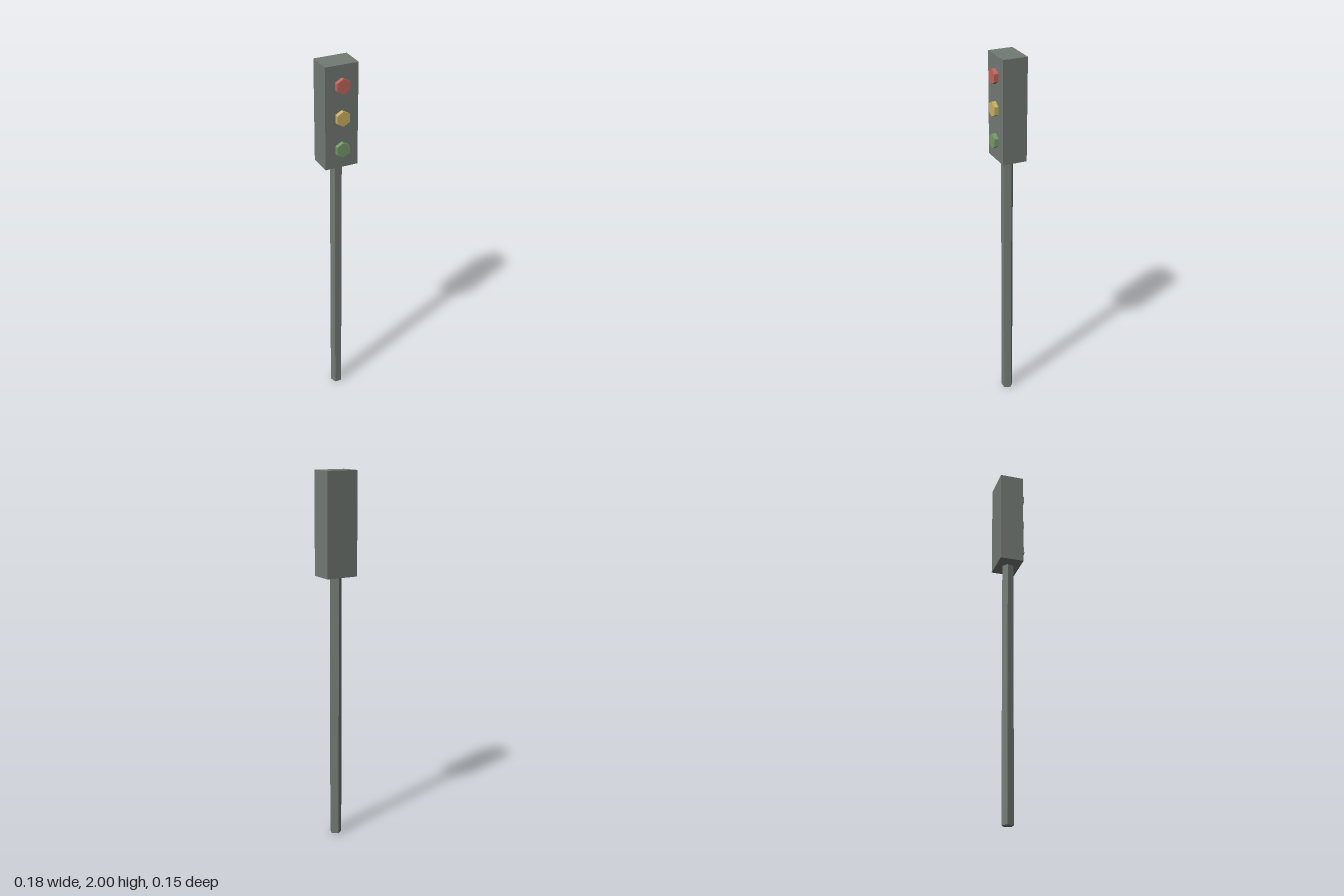
import * as THREE from 'three';

export function createModel() {
  const model = new THREE.Group();
  model.name = 'trafficLight';

  const material = (name, color) => {
    const m = new THREE.MeshStandardMaterial({ color, flatShading: true });
    m.name = name;
    return m;
  };
  const grey = material('greyMetal', 0x727a74);

  const add = (name, geometry, mat, x, y, z) => {
    const mesh = new THREE.Mesh(geometry, mat);
    mesh.name = name;
    mesh.position.set(x, y, z);
    model.add(mesh);
    return mesh;
  };

  // Five-sided pole with a flat face to the front
  const pole = new THREE.CylinderGeometry(0.0325, 0.0325, 1.455, 5).rotateY(Math.PI);
  add('pole', pole, grey, 0, 0.7275, -0.009);

  // Signal housing
  add('housing', new THREE.BoxGeometry(0.178, 0.545, 0.131), grey, 0, 1.7275, -0.0115);

  // Three hexagonal lamps, pointed at top and bottom
  const lamp = new THREE.CylinderGeometry(0.04, 0.04, 0.024, 6).rotateX(Math.PI / 2);
  [
    ['red', 0xc4655c, 1.896],
    ['yellow', 0xcbb060, 1.727],
    ['green', 0x769a69, 1.558],
  ].forEach(([name, color, y]) => {
    add(name + 'Lamp', lamp, material(name, color), 0, y, 0.0645);
  });

  return model;
}
